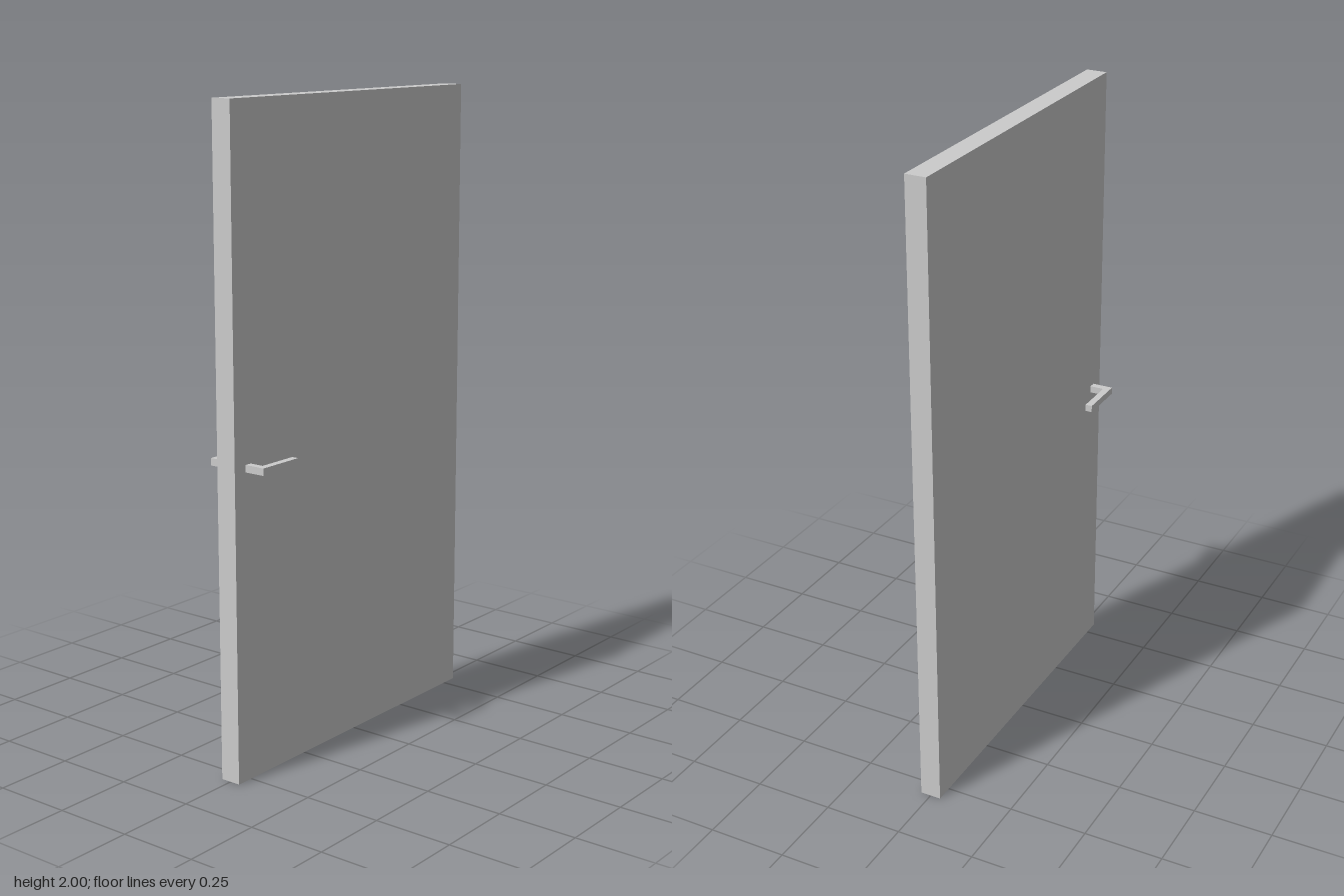
import * as THREE from 'three';

const material = new THREE.MeshStandardMaterial({ color: 0xcccccc, flatShading: true });

const WIDTH = 1.11, HEIGHT = 2, THICKNESS = 0.066;
const BAR = 0.022;    // square bar section of the handles
const REACH = 0.1;    // handle's outer face, measured from the door centre
const LEVER_X = [-0.508, -0.353];
const HANDLE_Y = 0.943;

// L-shaped lever: a stem out of the door, then a grip parallel to it
function makeHandle(name, side) {
  const [x0, x1] = LEVER_X;
  const root = THICKNESS / 2;
  const outline = [
    [x0, root], [x0 + BAR, root], [x0 + BAR, REACH - BAR],
    [x1, REACH - BAR], [x1, REACH], [x0, REACH],
  ].map(([x, z]) => new THREE.Vector2(x, -side * z));
  const geometry = new THREE.ExtrudeGeometry(new THREE.Shape(outline), { depth: BAR, bevelEnabled: false });
  geometry.rotateX(-Math.PI / 2); // lay the outline flat, extruded upward
  const handle = new THREE.Mesh(geometry, material);
  handle.name = name;
  handle.position.y = HANDLE_Y;
  return handle;
}

export function createModel() {
  const door = new THREE.Group();
  door.name = 'door';

  // Plain slab
  const panel = new THREE.Mesh(new THREE.BoxGeometry(WIDTH, HEIGHT, THICKNESS), material);
  panel.name = 'doorPanel';
  panel.position.y = HEIGHT / 2;

  // One lever on each face
  door.add(panel, makeHandle('frontHandle', 1), makeHandle('backHandle', -1));
  return door;
}
